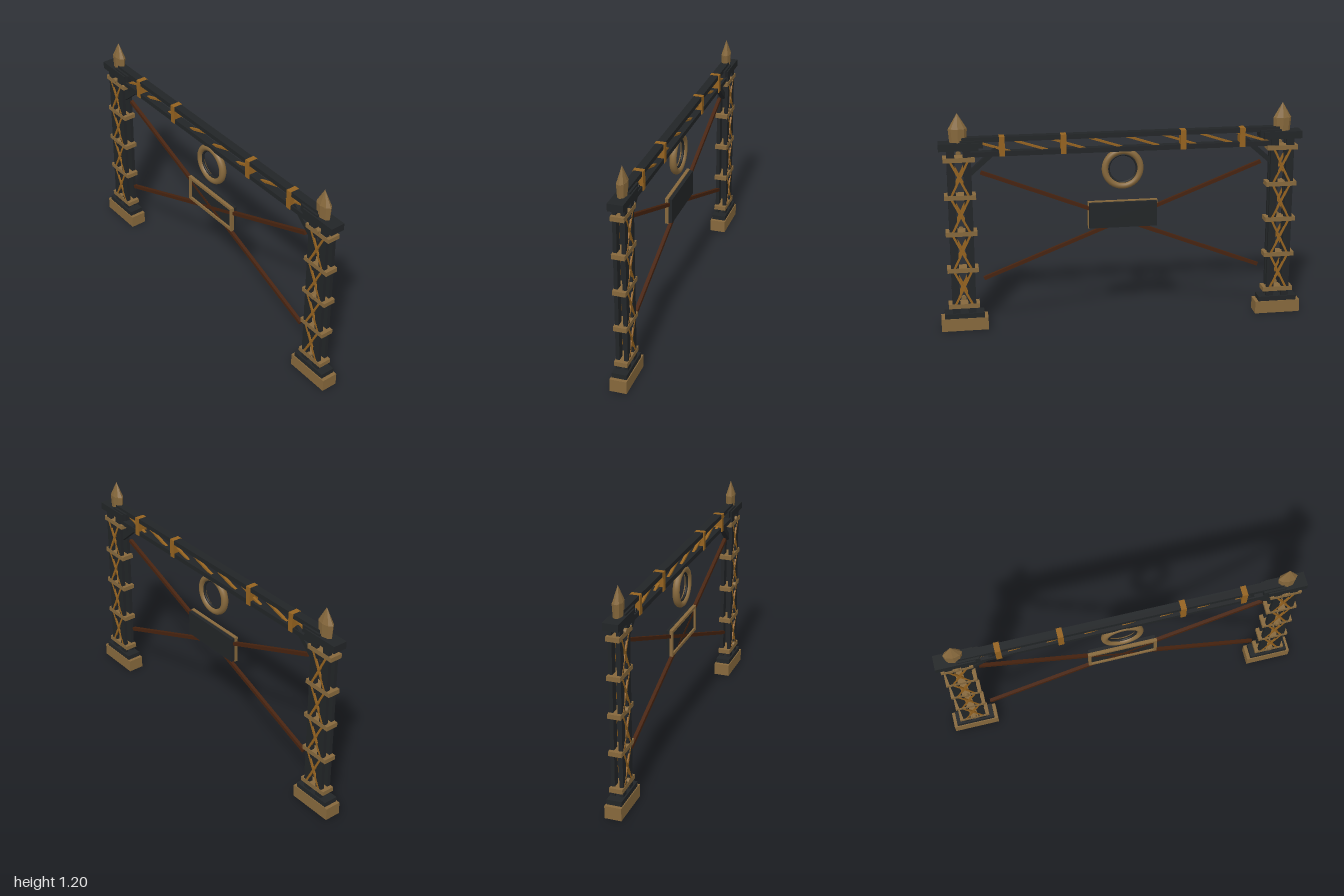
import * as THREE from 'three';

const mat = (name, color) => {
  const m = new THREE.MeshStandardMaterial({ color });
  m.name = name;
  return m;
};

export function createModel() {
  const iron = mat('dark iron', 0x222527);
  const brass = mat('aged brass', 0x86683c);
  const copper = mat('copper', 0x94621f);
  const rust = mat('rusty rod', 0x47230f);
  const model = new THREE.Group();
  model.name = 'gateway';

  const add = (parent, name, geometry, material, x = 0, y = 0, z = 0) => {
    const mesh = new THREE.Mesh(geometry, material);
    mesh.name = name;
    mesh.position.set(x, y, z);
    parent.add(mesh);
    return mesh;
  };
  const box = (parent, name, material, w, h, d, x, y, z = 0) =>
    add(parent, name, new THREE.BoxGeometry(w, h, d), material, x, y, z);
  // Straight bar between two points in a plane of constant z
  const bar = (parent, name, material, x1, y1, x2, y2, z, h, d) => {
    const m = box(parent, name, material, Math.hypot(x2 - x1, y2 - y1), h, d, (x1 + x2) / 2, (y1 + y2) / 2, z);
    m.rotation.z = Math.atan2(y2 - y1, x2 - x1);
    return m;
  };
  const facet = (g) => {
    const f = g.toNonIndexed();
    f.computeVertexNormals();
    return f;
  };

  // Lattice towers
  const bandY = [0.138, 0.343, 0.548, 0.75, 0.955];
  for (const s of [-1, 1]) {
    const tower = new THREE.Group();
    tower.name = s < 0 ? 'rightTower' : 'leftTower';
    tower.position.x = s * 0.873;
    model.add(tower);
    box(tower, 'base', brass, 0.254, 0.07, 0.09, 0, 0.035);
    box(tower, 'plinth', iron, 0.215, 0.028, 0.08, 0, 0.083);
    box(tower, 'cap', iron, 0.21, 0.04, 0.08, 0, 1.025);
    box(tower, 'beamSocket', iron, 0.12, 0.04, 0.066, -s * 0.068, 1.035);
    for (const x of [-0.043, 0.043])
      for (const z of [-0.022, 0.022])
        box(tower, 'post', iron, 0.042, 0.92, 0.02, x, 0.55, z);
    for (const y of bandY) box(tower, 'band', brass, 0.168, 0.025, 0.07, 0, y);
    // Crossed lattice on front and back of each bay
    for (let i = 0; i < 4; i++)
      for (const z of [-0.03, 0.03])
        for (const k of [-1, 1])
          bar(tower, 'latticeBrace', copper, -k * 0.05, bandY[i], k * 0.05, bandY[i + 1], z, 0.012, 0.008);
    // Bolt heads
    for (const y of [0.16, 0.555, 0.972]) {
      const bolt = add(tower, 'bolt', new THREE.CylinderGeometry(0.014, 0.014, 0.014, 12), brass, 0, y, 0.036);
      bolt.rotation.x = Math.PI / 2;
    }
    // Flattened pointed finial
    const shaft = add(tower, 'finialShaft', facet(new THREE.CylinderGeometry(0.05, 0.044, 0.075, 8)), brass, 0, 1.08);
    const tip = add(tower, 'finialTip', facet(new THREE.ConeGeometry(0.05, 0.085, 8)), brass, 0, 1.158);
    shaft.scale.z = tip.scale.z = 0.52;
    // Knee brace under the beam
    bar(tower, 'kneeBrace', iron, -s * 0.04, 0.86, -s * 0.2, 1.0, 0, 0.027, 0.03);
  }

  // Truss beam
  box(model, 'topChord', iron, 1.71, 0.026, 0.044, 0, 1.057);
  box(model, 'bottomChord', iron, 1.66, 0.026, 0.044, 0, 0.978);
  for (let i = 0; i < 8; i++) {
    const x = -0.8 + i * 0.2;
    bar(model, 'trussDiagonal', copper, x, 0.985, x + 0.2, 1.05, 0, 0.011, 0.014);
  }
  for (const x of [-0.65, -0.325, 0.32, 0.645]) box(model, 'clamp', copper, 0.03, 0.105, 0.054, x, 1.018);

  // Hanging ring with a dark inner rim
  const ring = add(model, 'ring', new THREE.TorusGeometry(0.096, 0.018, 12, 48), brass, 0, 0.865, 0.008);
  ring.scale.z = 1.1;
  add(model, 'ringRim', new THREE.TorusGeometry(0.077, 0.007, 10, 48), iron, 0, 0.865, 0.008);

  // Crossed tie rods
  for (const s of [-1, 1]) bar(model, 'tieRod', rust, -s * 0.76, 0.875, s * 0.76, 0.28, 0.004, 0.019, 0.018);

  // Sign panel and raised frame
  const sign = new THREE.Group();
  sign.name = 'sign';
  sign.position.y = 0.61;
  model.add(sign);
  box(sign, 'panel', iron, 0.37, 0.14, 0.028, 0, 0, -0.002);
  for (const s of [-1, 1]) {
    box(sign, 'frameRail', brass, 0.38, 0.016, 0.018, 0, s * 0.067, 0.013);
    box(sign, 'frameStile', brass, 0.016, 0.15, 0.018, s * 0.182, 0, 0.013);
  }
  return model;
}
